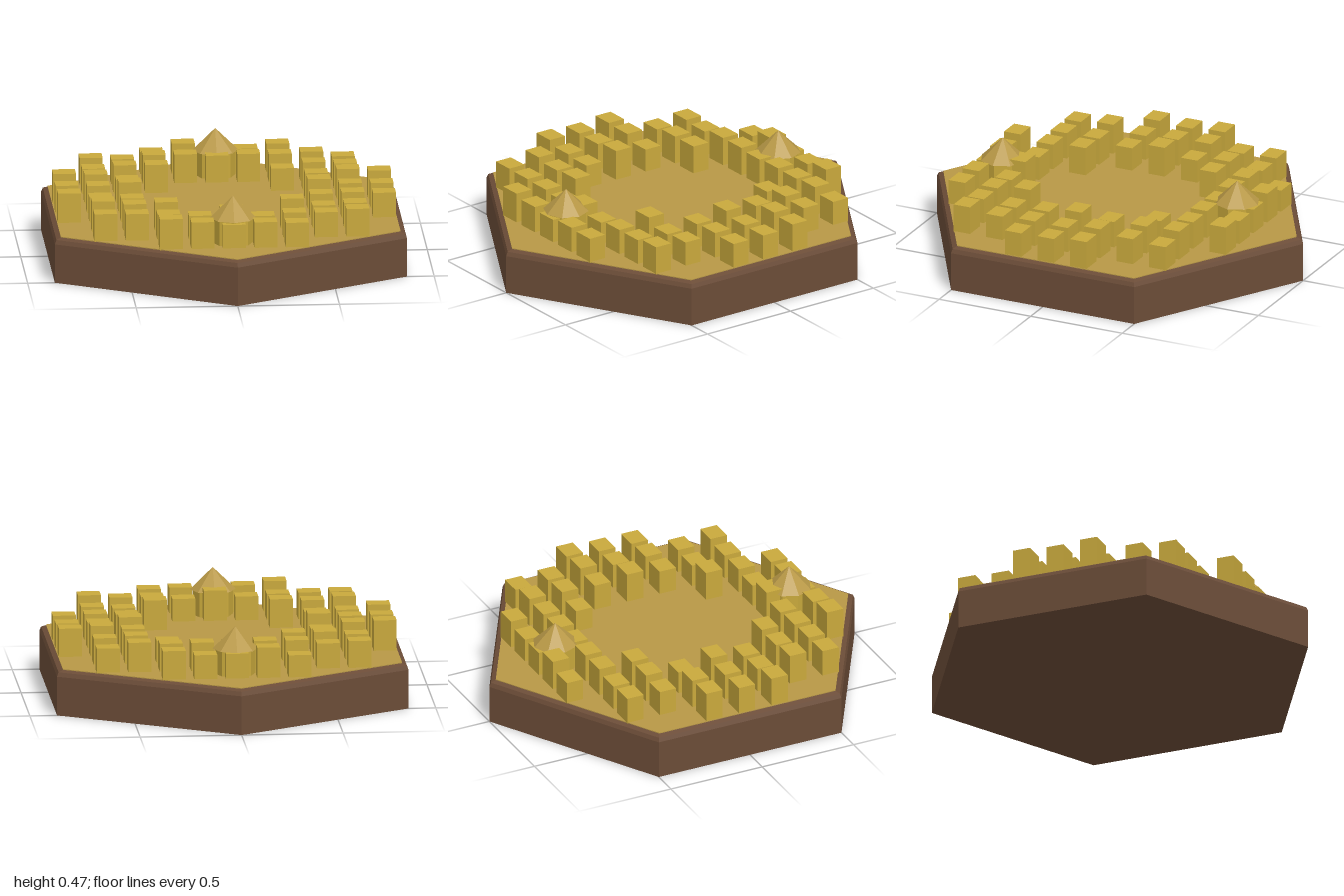
import * as THREE from 'three';

const flat = (name, color) => {
  const m = new THREE.MeshStandardMaterial({ color, flatShading: true });
  m.name = name;
  return m;
};

export function createModel() {
  const earth = flat('earth brown', 0x6b4c37);
  const sand = flat('sand', 0xb89846);
  const gold = flat('house gold', 0xc9a93c);

  const model = new THREE.Group();
  model.name = 'hexTownTile';
  const add = (name, geometry, material, x, y, z, parent = model) => {
    const mesh = new THREE.Mesh(geometry, material);
    mesh.name = name;
    mesh.position.set(x, y, z);
    parent.add(mesh);
  };

  // Hexagonal base with a bevelled upper rim, points along z
  const top = 0.225;
  const profile = [[0, 0], [1, 0], [1, 0.195], [0.991, 0.216], [0.965, top], [0, top]]
    .map(([r, y]) => new THREE.Vector2(r, y));
  add('base', new THREE.LatheGeometry(profile, 6), earth, 0, 0, 0);
  add('ground', new THREE.CylinderGeometry(0.965, 0.965, 0.004, 6), sand, 0, top + 0.002, 0);

  // Houses in rows around an open square; each row lists its column numbers
  const stepX = 0.155, stepZ = 0.178;
  const rows = [[3, 4, 5], [2, 3, 4], [0, 1, 2, 3, 4], [0, 1, 2]];
  const rowFor = (r) => (r < 2 ? [[3, 4, 5], [3, 4, 5]][r] : [[2, 3, 4], rows[2], rows[3]][r - 2]);
  const houses = new THREE.Group();
  houses.name = 'houses';
  model.add(houses);
  let seed = 7;
  const random = () => (seed = (seed * 16807) % 2147483647) / 2147483647;
  for (let r = -4; r <= 4; r++) {
    const columns = rowFor(Math.abs(r));
    for (let c = -5; c <= 5; c++) {
      if (!columns.includes(Math.abs(c))) continue;
      const h = 0.115 + 0.045 * random();
      add('house', new THREE.BoxGeometry(0.113, h, 0.09), gold, c * stepX, top + h / 2, r * stepZ, houses);
    }
  }

  // Two eight-sided towers with pointed roofs
  for (const side of [1, -1]) {
    const tower = new THREE.Group();
    tower.name = side > 0 ? 'frontTower' : 'backTower';
    tower.position.set(0, 0, side * 0.64);
    model.add(tower);
    add('towerWall', new THREE.CylinderGeometry(0.1, 0.1, 0.13, 8), gold, 0, top + 0.065, 0, tower);
    add('towerRoof', new THREE.ConeGeometry(0.113, 0.11, 8), sand, 0, 0.41, 0, tower);
  }
  return model;
}
